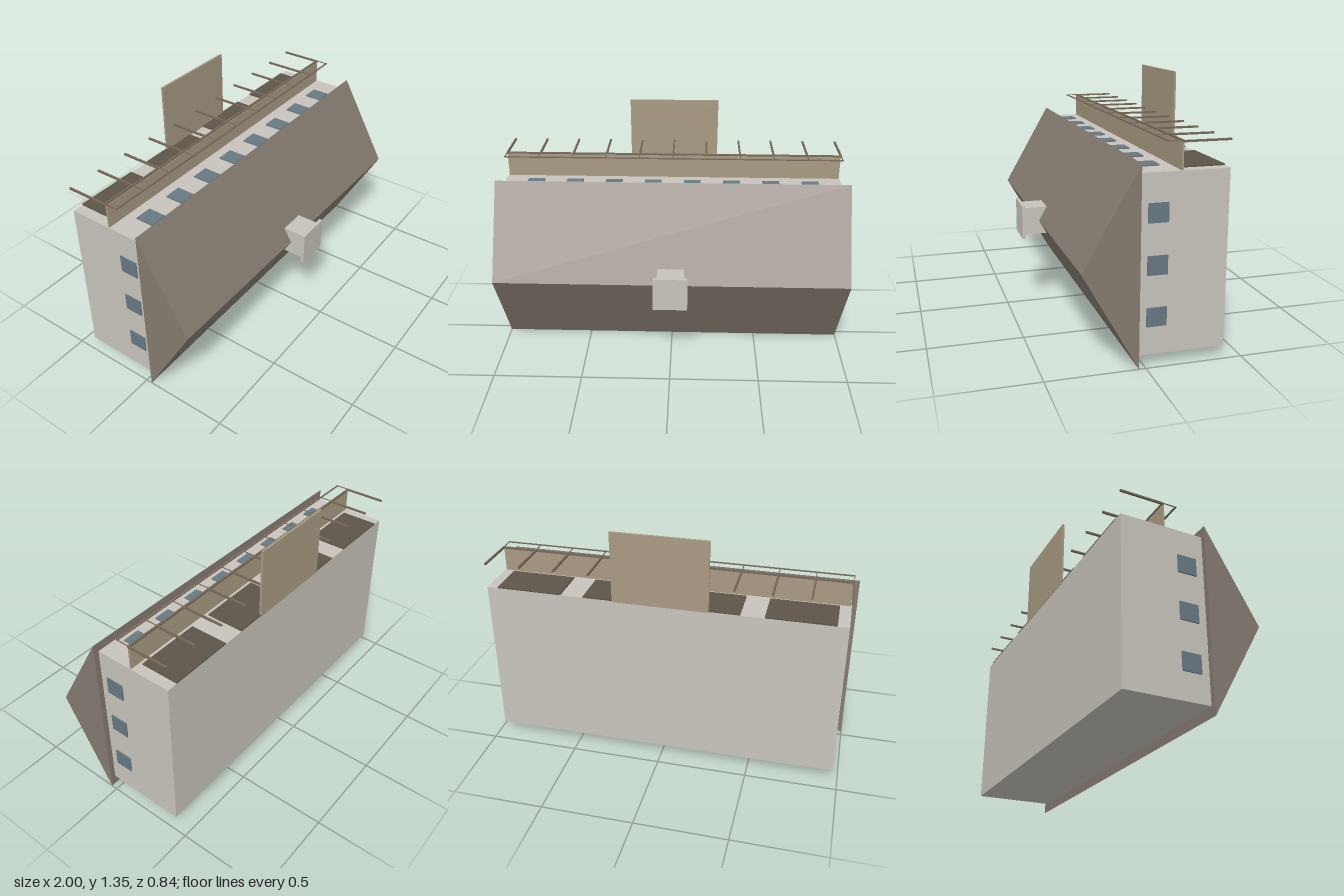
import * as THREE from 'three';

const mat = (name, color) => {
  const m = new THREE.MeshStandardMaterial({ color });
  m.name = name;
  return m;
};

export function createModel() {
  const wall = mat('pale plaster', 0xc8c4bc);
  const roofBrown = mat('roof brown', 0x857b71);
  const glass = mat('blue glass', 0x677983);
  const tan = mat('tan board', 0xa89b83);
  const dark = mat('dark panel', 0x5d5549);
  const timber = mat('rail brown', 0x76685a);

  const model = new THREE.Group();
  model.name = 'building';

  // Box given by its minimum and maximum on each axis
  const box = (name, material, [x0, x1], [y0, y1], [z0, z1]) => {
    const mesh = new THREE.Mesh(new THREE.BoxGeometry(x1 - x0, y1 - y0, z1 - z0), material);
    mesh.position.set((x0 + x1) / 2, (y0 + y1) / 2, (z0 + z1) / 2);
    mesh.name = name;
    model.add(mesh);
    return mesh;
  };

  // Main block
  box('body', wall, [-0.97, 0.97], [0.055, 0.955], [-0.415, 0.035]);

  // Gabled roof: a triangle extruded along x
  const gable = new THREE.Shape();
  gable.moveTo(-0.035, 0);
  gable.lineTo(-0.035, 1.005);
  gable.lineTo(-0.32, 0.505);
  gable.closePath();
  const roofGeo = new THREE.ExtrudeGeometry(gable, { depth: 2, bevelEnabled: false });
  roofGeo.translate(0, 0, -1);
  roofGeo.rotateY(Math.PI / 2);
  const roof = new THREE.Mesh(roofGeo, roofBrown);
  roof.name = 'roof';
  model.add(roof);

  // Chimney on the ridge
  box('chimneyStack', wall, [-0.075, 0.075], [0.43, 0.585], [0.2, 0.402]);
  box('chimneyCap', wall, [-0.095, 0.095], [0.41, 0.602], [0.402, 0.42]);

  // Windows along the upper face
  for (let i = 0; i < 8; i++) {
    const x = (i - 3.5) * 0.2257;
    box('upperWindow', glass, [x - 0.048, x + 0.048], [0.954, 0.962], [-0.11, -0.008]);
  }

  // Three windows at each end
  for (const s of [-1, 1]) {
    for (const y of [0.248, 0.507, 0.763]) {
      const xs = s > 0 ? [0.969, 0.977] : [-0.977, -0.969];
      box('endWindow', glass, xs, [y - 0.048, y + 0.048], [-0.11, -0.008]);
    }
  }

  // Dark shopfront panels
  for (const x of [-0.729, -0.241, 0.241, 0.729]) {
    box('darkPanel', dark, [x - 0.181, x + 0.181], [0.954, 0.962], [-0.415, -0.2]);
  }

  // Long board with its rail
  box('longBoard', tan, [-0.965, 0.965], [0.955, 1.088], [-0.18, -0.17]);
  box('boardRail', timber, [-0.97, 0.97], [1.086, 1.096], [-0.184, -0.173]);
  box('outerRail', timber, [-0.97, 0.97], [1.092, 1.097], [-0.109, -0.1]);

  // Beams to the back and thin brackets to the outer rail
  for (let i = -5; i <= 5; i++) {
    const x = i * 0.1935;
    box('beam', timber, [x - 0.005, x + 0.005], [1.086, 1.096], [-0.415, -0.178]);
    box('bracket', timber, [x - 0.002, x + 0.002], [1.092, 1.096], [-0.175, -0.105]);
  }

  // Tall board at the back
  box('tallBoard', tan, [-0.26, 0.26], [0.95, 1.345], [-0.417, -0.405]);

  return model;
}
